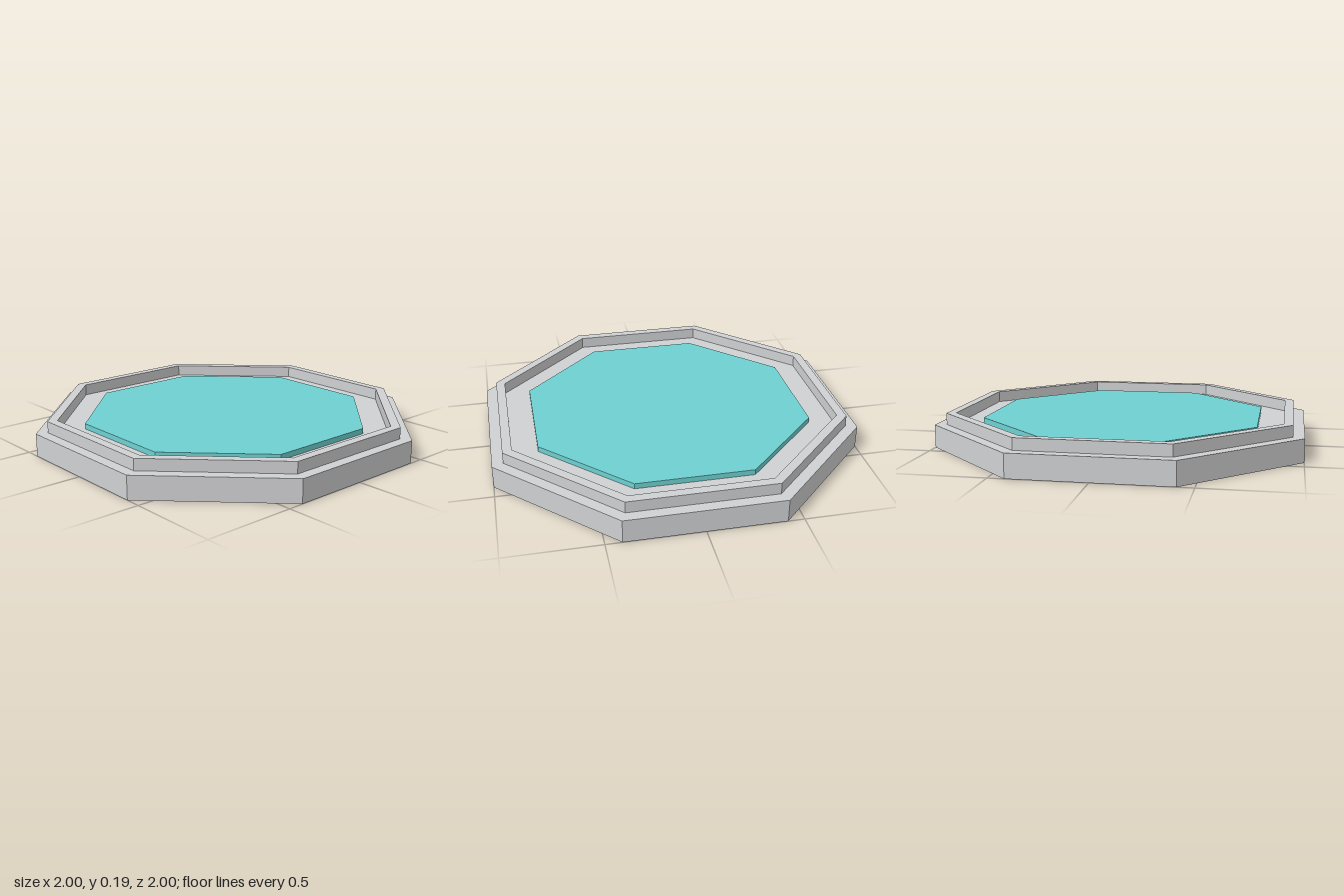
import * as THREE from 'three';

const SIDES = 8;
const TURN = Math.PI / SIDES; // puts flat sides on the x and z axes

// Octagonal solid or ring from a profile of [apothem, y] points, listed up the outside
function octagonal(name, profile, material) {
  const points = profile.map(([a, y]) => new THREE.Vector2(a / Math.cos(TURN), y));
  const geometry = new THREE.LatheGeometry(points, SIDES, TURN).toNonIndexed();
  geometry.computeVertexNormals(); // crisp flat facets
  const mesh = new THREE.Mesh(geometry, material);
  mesh.name = name;
  return mesh;
}

export function createModel() {
  const stone = new THREE.MeshStandardMaterial({ color: 0xd0d1d3 });
  stone.name = 'pale grey';
  const teal = new THREE.MeshStandardMaterial({ color: 0x6fd1d1 });
  teal.name = 'teal';

  const floor = 0.127, rim = 0.19, panel = 0.157;
  const model = new THREE.Group();
  model.name = 'octagonalPlatform';

  // Closed base slab
  model.add(octagonal('base', [[0, 0], [1, 0], [1, floor], [0, floor]], stone));
  // Narrow raised rim
  model.add(octagonal('rim', [[0.94, floor], [0.94, rim], [0.89, rim], [0.89, floor]], stone));
  // Coloured panel inside the rim
  model.add(octagonal('centrePanel', [[0.753, floor], [0.753, panel], [0, panel]], teal));

  return model;
}
